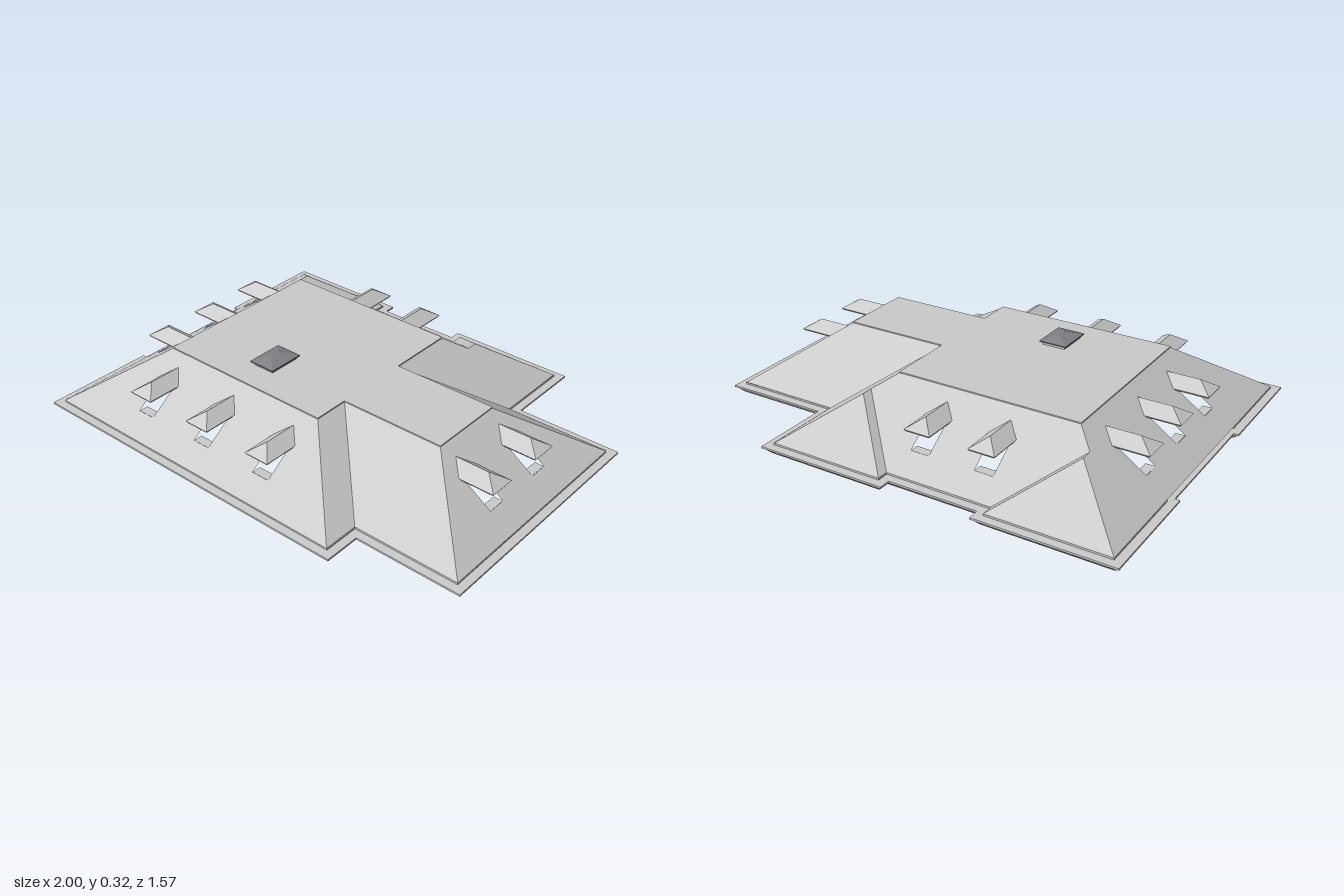
import * as THREE from 'three';
import { ConvexGeometry } from 'three/addons/geometries/ConvexGeometry.js';

const EAVE = 0.044, TOP = 0.277, RUN = 0.335, PITCH = (TOP - EAVE) / RUN;
const roofMat = new THREE.MeshStandardMaterial({ color: 0xcccccc, flatShading: true, side: THREE.DoubleSide });
const darkMat = new THREE.MeshStandardMaterial({ color: 0x808086, flatShading: true });

// Outline given in plan as [x, z]
const toVec = ([x, z]) => new THREE.Vector2(x, -z);

// Flat panel drawn in plan, then lifted by a height rule
function panel(name, pts, height, holes = []) {
  const shape = new THREE.Shape(pts.map(toVec));
  for (const h of holes) shape.holes.push(new THREE.Path(h.map(toVec)));
  const geo = new THREE.ShapeGeometry(shape).rotateX(-Math.PI / 2);
  const p = geo.attributes.position;
  for (let i = 0; i < p.count; i++) p.setY(i, height(p.getX(i), p.getZ(i)));
  geo.computeVertexNormals();
  const mesh = new THREE.Mesh(geo, roofMat);
  mesh.name = name;
  return mesh;
}

// Sloping panel rising inward from the eave line axis = at; windows sit at the given centres
function slope(name, axis, at, pts, centres = []) {
  const dir = Math.sign(at);
  const group = new THREE.Group();
  group.name = name;
  const plan = (c, d) => (axis === 'z' ? [c, at - dir * d] : [at - dir * d, c]);
  const holes = centres.map(c => [plan(c - 0.04, 0.092), plan(c + 0.04, 0.092), plan(c + 0.04, 0.205), plan(c - 0.04, 0.205)]);
  const rise = (x, z) => EAVE + PITCH * dir * (at - (axis === 'z' ? z : x));
  group.add(panel(name + 'Panel', pts, rise, holes));
  const turn = axis === 'z' ? (dir > 0 ? 0 : Math.PI) : dir * Math.PI / 2;
  for (const c of centres) {
    const d = dormer();
    const [x, z] = plan(c, 0);
    d.position.set(x, 0, z);
    d.rotation.y = turn;
    group.add(d);
  }
  return group;
}

// Small hipped canopy over a window opening, with a sill; faces local +z
function dormer() {
  const g = new THREE.Group();
  g.name = 'dormer';
  const w = 0.058, pts = [];
  const back = y => -(y - EAVE) / PITCH;
  for (const s of [-1, 1])
    for (const [inset, y] of [[0.005, 0.193], [0, 0.201]]) {
      pts.push([s * (w - inset), y, -0.074 - inset], [s * (w - inset), y, back(y)]);
    }
  pts.push([0, 0.241, -0.138], [0, 0.241, back(0.241)]);
  const roof = new THREE.Mesh(new ConvexGeometry(pts.map(p => new THREE.Vector3(...p))), roofMat);
  roof.name = 'dormerRoof';
  const sill = new THREE.Mesh(new THREE.BoxGeometry(0.08, 0.004, 0.04), roofMat);
  sill.position.set(0, 0.106, -0.113);
  sill.name = 'windowSill';
  g.add(roof, sill);
  return g;
}

// Moulded eave: a closed profile carried round a right-angled outline with mitred corners
function cornice(loop, profile) {
  const n = loop.length, m = profile.length, verts = [];
  const normal = i => {
    const a = loop[i % n], b = loop[(i + 1) % n];
    return [-Math.sign(b[1] - a[1]), Math.sign(b[0] - a[0])];
  };
  const at = (i, k) => {
    const a = normal(i + n - 1), b = normal(i), [o, y] = profile[k % m];
    return [loop[i % n][0] + o * (a[0] + b[0]), y, loop[i % n][1] + o * (a[1] + b[1])];
  };
  for (let i = 0; i < n; i++)
    for (let k = 0; k < m; k++) {
      const a = at(i, k + 1), b = at(i + 1, k + 1), c = at(i + 1, k), d = at(i, k);
      verts.push(...a, ...b, ...c, ...a, ...c, ...d);
    }
  const geo = new THREE.BufferGeometry();
  geo.setAttribute('position', new THREE.Float32BufferAttribute(verts, 3));
  geo.computeVertexNormals();
  const mesh = new THREE.Mesh(geo, roofMat);
  mesh.name = 'cornice';
  return mesh;
}

export function createModel() {
  const model = new THREE.Group();
  model.name = 'mansardRoof';

  // Flat top: a thin deck with a slight overhang
  const deckShape = new THREE.Shape([
    [-0.632, 0.417], [0.172, 0.417], [0.172, 0.262], [0.632, 0.262],
    [0.632, -0.071], [0.172, -0.071], [0.172, -0.369], [-0.632, -0.369],
  ].map(toVec));
  const deck = new THREE.Mesh(
    new THREE.ExtrudeGeometry(deckShape, { depth: 0.005, bevelEnabled: false }).rotateX(-Math.PI / 2), roofMat);
  deck.position.y = TOP - 0.001;
  deck.name = 'flatTop';
  model.add(deck);

  // Main block slopes
  model.add(slope('frontSlope', 'z', 0.75,
    [[-0.965, 0.75], [0.505, 0.75], [0.17, 0.415], [-0.63, 0.415]], [-0.547, -0.227, 0.093]));
  model.add(slope('rightEndSlope', 'x', -0.965,
    [[-0.965, 0.75], [-0.63, 0.415], [-0.63, -0.367], [-0.71, -0.447], [-0.71, -0.497], [-0.965, -0.752]],
    [-0.273, 0, 0.27]));
  model.add(slope('backSlope', 'z', -0.702,
    [[-0.455, -0.702], [0, -0.702], [0.2525, -0.4495], [0.17, -0.367], [-0.63, -0.367], [-0.71, -0.447]],
    [-0.368, -0.088]));
  model.add(slope('leftFrontSlope', 'x', 0.505,
    [[0.505, 0.75], [0.505, 0.595], [0.17, 0.26], [0.17, 0.415]]));
  model.add(slope('leftBackSlope', 'x', 0.505,
    [[0.505, -0.752], [0.505, -0.404], [0.17, -0.069], [0.17, -0.367], [0.2525, -0.4495], [0.2525, -0.4995]]));

  // Side wing slopes
  model.add(slope('wingFrontSlope', 'z', 0.595,
    [[0.505, 0.595], [0.965, 0.595], [0.63, 0.26], [0.17, 0.26]]));
  model.add(slope('wingEndSlope', 'x', 0.965,
    [[0.965, 0.595], [0.965, -0.404], [0.63, -0.069], [0.63, 0.26]], [-0.043, 0.232]));
  model.add(slope('wingBackSlope', 'z', -0.404,
    [[0.505, -0.404], [0.965, -0.404], [0.63, -0.069], [0.17, -0.069]]));

  // Two shallow hipped bays at the back: end face and narrow inner return
  for (const [outer, inner] of [[-0.965, -0.455], [0.505, 0]]) {
    const mid = (outer + inner) / 2, half = Math.abs(outer - inner) / 2, s = Math.sign(outer);
    model.add(slope('backBayEnd', 'z', -0.752,
      [[outer, -0.752], [inner, -0.752], [mid, -0.752 + half]]));
    model.add(panel('backBayReturn',
      [[inner, -0.752], [inner, -0.702], [mid, -0.702 + half], [mid, -0.752 + half]],
      x => EAVE + PITCH * s * (x - inner)));
  }

  // Cornice, set back along part of one end
  model.add(cornice([
    [-0.965, 0.749], [0.506, 0.749], [0.506, 0.595], [0.965, 0.595], [0.965, -0.405], [0.506, -0.405],
    [0.506, -0.752], [0, -0.752], [0, -0.702], [-0.455, -0.702], [-0.455, -0.752], [-0.965, -0.752],
    [-0.965, -0.325], [-0.945, -0.325], [-0.945, 0.32], [-0.965, 0.32],
  ], [[0, 0.044], [0, 0.036], [0.035, 0.035], [0.035, 0.027], [0.022, 0.021], [0.02, 0.014],
    [0.006, 0], [-0.01, 0], [-0.01, 0.03]]));

  // Hipped skylight on a low curb
  const light = new THREE.Group();
  light.name = 'skylight';
  const curb = new THREE.Mesh(new THREE.BoxGeometry(0.1, 0.014, 0.14), roofMat);
  curb.position.y = 0.288;
  curb.name = 'skylightCurb';
  const pts = [];
  for (const sz of [-1, 1]) {
    for (const sx of [-1, 1])
      for (const y of [0.294, 0.299]) pts.push(new THREE.Vector3(sx * 0.061, y, sz * 0.081));
    pts.push(new THREE.Vector3(0, 0.317, sz * 0.024));
  }
  const cap = new THREE.Mesh(new ConvexGeometry(pts), darkMat);
  cap.name = 'skylightCap';
  light.add(curb, cap);
  light.position.set(-0.228, 0, 0.226);
  model.add(light);

  return model;
}
